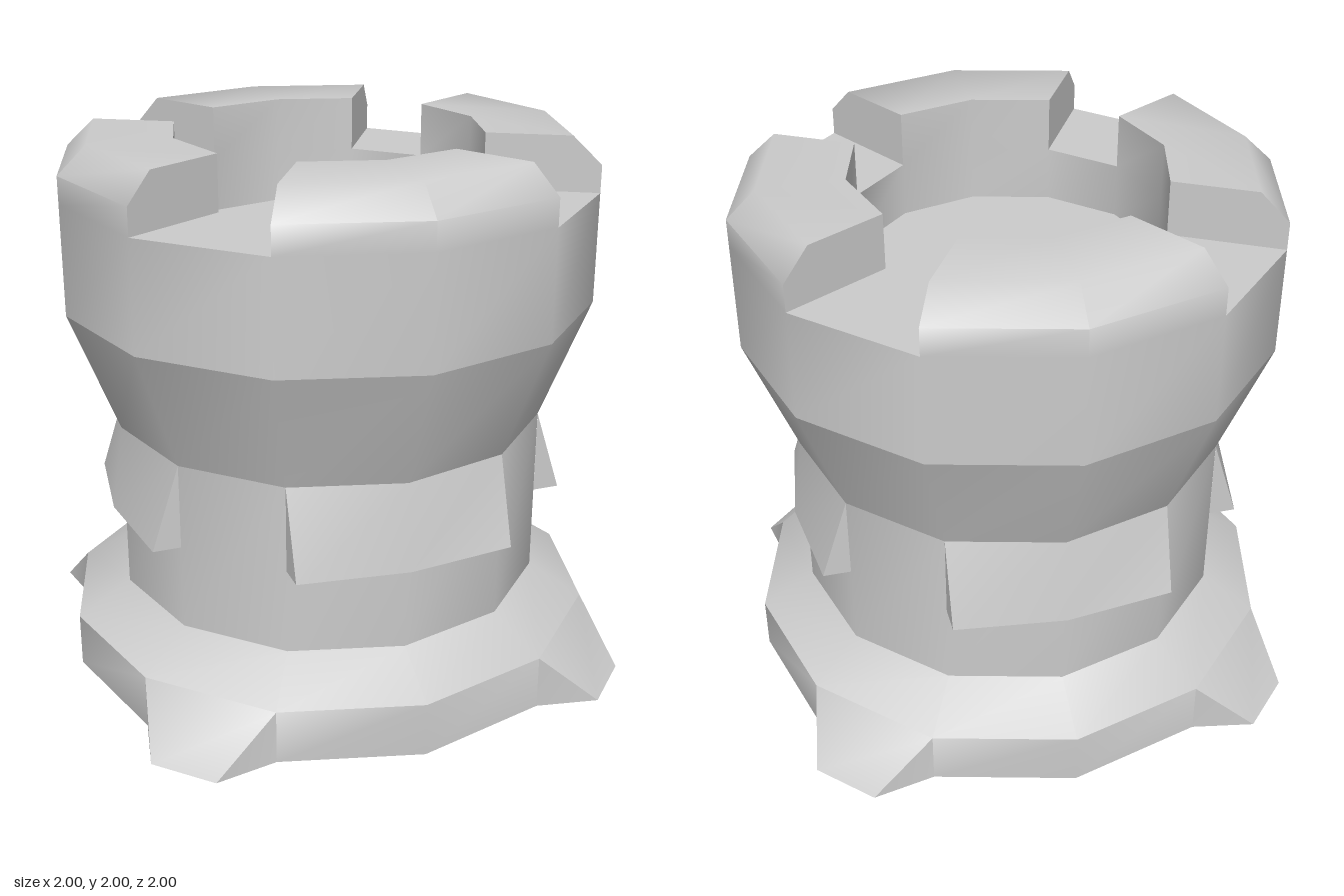
import * as THREE from 'three';
import { toCreasedNormals } from 'three/addons/utils/BufferGeometryUtils.js';

const SIDES = 12;
const STEP = 360 / SIDES;

// Point at a radius, compass angle (0 = front, 90 = +x) and height
function at(r, deg, y) {
  const a = THREE.MathUtils.degToRad(deg);
  return [r * Math.sin(a), y, r * Math.cos(a)];
}

// Mesh from convex polygons, corners counterclockwise seen from outside
function polyMesh(name, polys, crease = 0.9) {
  const pos = [];
  for (const p of polys) {
    for (let i = 1; i < p.length - 1; i++) pos.push(...p[0], ...p[i], ...p[i + 1]);
  }
  const geo = new THREE.BufferGeometry();
  geo.setAttribute('position', new THREE.Float32BufferAttribute(pos, 3));
  const mesh = new THREE.Mesh(
    toCreasedNormals(geo, crease),
    new THREE.MeshStandardMaterial({ color: 0xcccccc })
  );
  mesh.name = name;
  return mesh;
}

// One facet column of a turned profile [[radius, height], ...]
function facets(profile, a0, a1) {
  const out = [];
  for (let i = 0; i < profile.length - 1; i++) {
    const [r0, y0] = profile[i], [r1, y1] = profile[i + 1];
    out.push([at(r0, a0, y0), at(r0, a1, y0), at(r1, a1, y1), at(r1, a0, y1)]);
  }
  return out;
}

// Calls fn(startAngle, endAngle, isDiagonal) for each of the twelve sides
function eachSide(fn) {
  for (let k = 0; k < SIDES; k++) fn(k * STEP, (k + 1) * STEP, k % 3 === 1);
}

function turned(name, profile) {
  const polys = [];
  eachSide((a0, a1) => polys.push(...facets(profile, a0, a1)));
  return polyMesh(name, polys);
}

// Sloped foot with a spur running out at each diagonal
function makeBase() {
  const polys = [];
  eachSide((a0, a1, diagonal) => {
    const low0 = at(1, a0, 0), low1 = at(1, a1, 0);
    const top0 = at(1, a0, 0.2), top1 = at(1, a1, 0.2);
    polys.push(...facets([[1, 0.2], [0.8, 0.32]], a0, a1));
    if (diagonal) {
      const tip0 = at(1.166, a0 + 8.7, 0), tip1 = at(1.166, a1 - 8.7, 0);
      polys.push([tip0, tip1, top1, top0]);
      polys.push([low0, tip0, top0], [tip1, low1, top1]);
      polys.push([[0, 0, 0], low1, tip1, tip0, low0]);
    } else {
      polys.push([low0, low1, top1, top0]);
      polys.push([[0, 0, 0], low1, low0]);
    }
  });
  return polyMesh('base', polys);
}

// Flared skirt plate under the head, built facing +z
function makeSkirtPlate() {
  const top = 0.95, low = 0.635;
  const tl = [-0.4, top, 0.693], tm = [0, top, 0.8], tr = [0.4, top, 0.693];
  const bl = [-0.4, low, 0.795], bm = [0, low, 0.845], br = [0.4, low, 0.795];
  const il = [-0.4, low, 0.693], im = [0, low, 0.8], ir = [0.4, low, 0.693];
  return polyMesh('skirtPlate', [
    [bl, bm, tm, tl], [bm, br, tr, tm],
    [il, im, bm, bl], [im, ir, br, bm],
    [il, bl, tl], [br, ir, tr]
  ]);
}

// Parapet with four notches at the diagonals and a sunken floor
function makeParapet() {
  const R = 0.975, r = 0.565, floor = 1.6, notch = 1.8;
  const merlon = [[R, 1.4], [R, notch], [R, 1.9], [0.87, 2], [r, 2], [r, notch], [r, floor]];
  const gap = [[R, 1.4], [R, notch], [r, notch], [r, floor]];
  const end = [[R, notch], [r, notch], [r, 2], [0.87, 2], [R, 1.9]];
  const polys = [];
  eachSide((a0, a1, diagonal) => {
    polys.push(...facets(diagonal ? gap : merlon, a0, a1));
    polys.push([[0, floor, 0], at(r, a0, floor), at(r, a1, floor)]);
    if (diagonal) {
      polys.push(end.map(([q, y]) => at(q, a0, y)));
      polys.push(end.map(([q, y]) => at(q, a1, y)).reverse());
    }
  });
  return polyMesh('parapet', polys);
}

export function createModel() {
  const group = new THREE.Group();
  group.name = 'tower';
  group.add(makeBase());
  group.add(turned('column', [[0.8, 0.32], [0.8, 0.95]]));
  for (let i = 0; i < 4; i++) {
    const plate = makeSkirtPlate();
    plate.rotation.y = (i * Math.PI) / 2;
    group.add(plate);
  }
  group.add(turned('flaredNeck', [[0.8, 0.95], [0.975, 1.4]]));
  group.add(makeParapet());
  return group;
}
